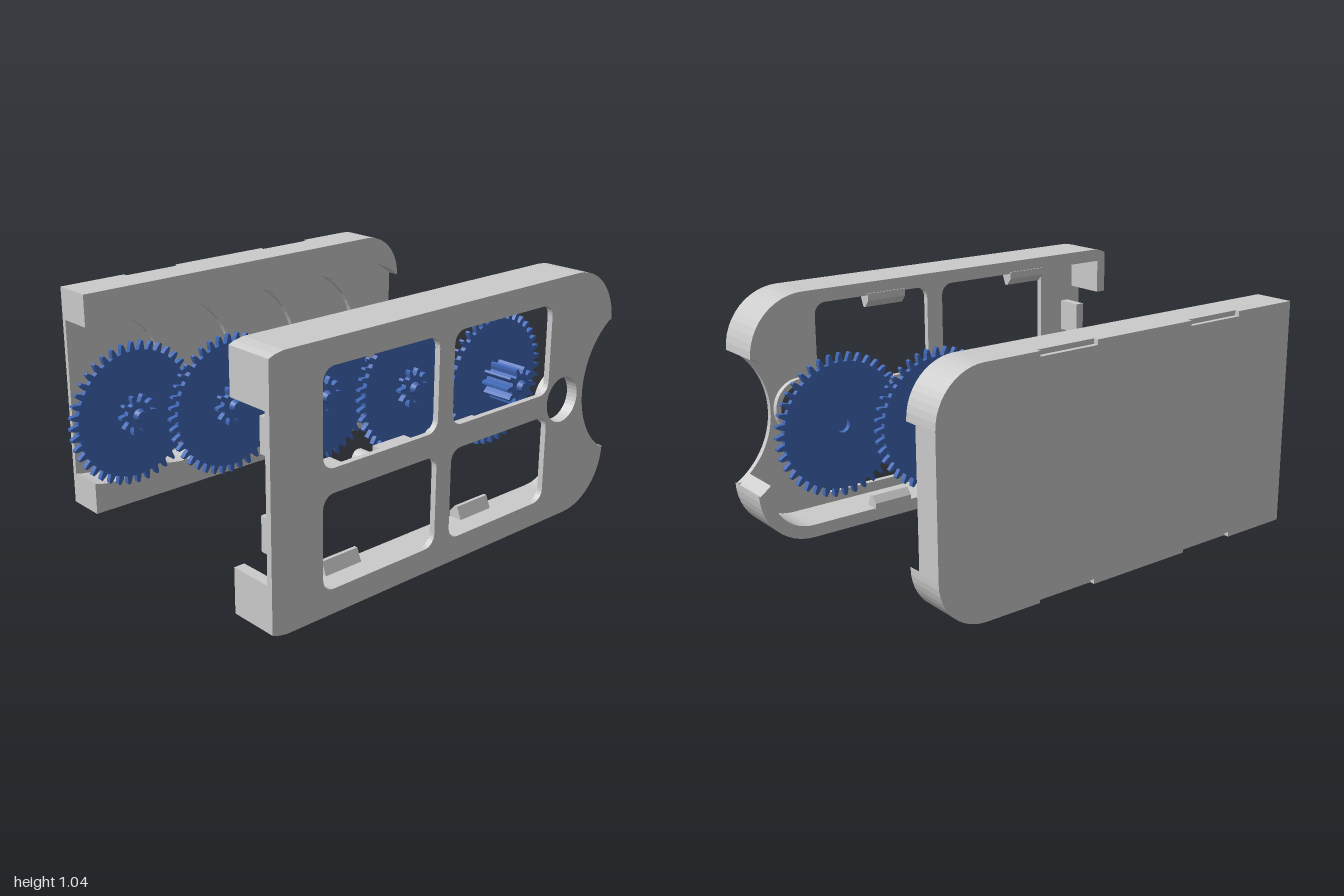
import * as THREE from 'three';

const grey = new THREE.MeshStandardMaterial({ color: 0xcccccc, flatShading: true });
const blue = new THREE.MeshStandardMaterial({ color: 0x4169b8, flatShading: true });
const PITCH = 0.35;                                   // spacing of the gear axles
const axles = [0, 1, 2, 3, 4].map(i => -0.7 + PITCH * i);
const rad = d => d * Math.PI / 180;

// Points along an arc, angles in degrees
function arc(cx, cy, r, a0, a1, n = 12) {
  return Array.from({ length: n + 1 }, (_, i) => {
    const a = rad(a0 + (a1 - a0) * i / n);
    return [cx + r * Math.cos(a), cy + r * Math.sin(a)];
  });
}
const vec = pts => pts.map(p => new THREE.Vector2(p[0], p[1]));
const flip = pts => pts.map(([x, y]) => [x, -y]);

function add(parent, name, geometry, material = grey) {
  const mesh = new THREE.Mesh(geometry, material);
  mesh.name = name;
  parent.add(mesh);
  return mesh;
}
// Flat outline extruded from z0 to z1
function slab(pts, z0, z1, holes = []) {
  const shape = new THREE.Shape(vec(pts));
  holes.forEach(h => shape.holes.push(new THREE.Path(vec(h))));
  return new THREE.ExtrudeGeometry(shape, { depth: z1 - z0, bevelEnabled: false }).translate(0, 0, z0);
}
function box(x0, x1, y0, y1, z0, z1) {
  return new THREE.BoxGeometry(x1 - x0, y1 - y0, z1 - z0)
    .translate((x0 + x1) / 2, (y0 + y1) / 2, (z0 + z1) / 2);
}
function peg(x, r0, r1, z0, z1) {
  return new THREE.CylinderGeometry(r1, r0, z1 - z0, 20).rotateX(Math.PI / 2).translate(x, 0, (z0 + z1) / 2);
}
function roundedRect(x0, x1, y0, y1, r) {
  return [...arc(x1 - r, y1 - r, r, 0, 90, 6), ...arc(x0 + r, y1 - r, r, 90, 180, 6),
    ...arc(x0 + r, y0 + r, r, 180, 270, 6), ...arc(x1 - r, y0 + r, r, 270, 360, 6)];
}
function toothed(teeth, root, tip) {
  const pts = [], step = 360 / teeth;
  for (let i = 0; i < teeth; i++) {
    [[-0.3, root], [-0.2, (root + tip) / 2 + 0.003], [-0.1, tip], [0.1, tip],
      [0.2, (root + tip) / 2 + 0.003], [0.3, root]].forEach(([f, r]) => {
      const a = rad((i + f) * step);
      pts.push([r * Math.cos(a), r * Math.sin(a)]);
    });
  }
  return pts;
}

// Compound gear: wheel, pinion and tapered axle stub
function makeGear(index) {
  const gear = new THREE.Group();
  gear.name = 'gear' + (index + 1);
  const last = index === 4, top = last ? 0.154 : 0.036;
  add(gear, 'gearWheel', slab(toothed(40, 0.262, 0.297), -0.011, 0.011, [arc(0, 0, 0.03, 0, 342, 19)]), blue);
  add(gear, 'pinion', slab(toothed(10, 0.055, 0.084), 0.011, top), blue);
  add(gear, 'axleStub', peg(0, 0.028, 0.019, top, top + 0.022), blue);
  gear.position.set(axles[index], 0, -0.348 + 0.165 * index);
  return gear;
}

function makeFrontCover() {
  const cover = new THREE.Group();
  cover.name = 'frontCover';
  // Face plate with finger notch, four windows and a drive hole
  const upper = [[-0.845, 0.505], [-0.82, 0.515], [-0.78, 0.5225], ...arc(0.76, 0.2825, 0.24, 90, 0)];
  const notch = arc(1.17, 0, 0.337, 120.3, 239.7, 30);
  const holes = [arc(0.7, 0, 0.097, 0, 350, 35)];
  for (const [x0, x1] of [[-0.61, -0.04], [0.04, 0.605]])
    for (const [y0, y1] of [[-0.4225, -0.0475], [0.0475, 0.4225]]) holes.push(roundedRect(x0, x1, y0, y1, 0.05));
  add(cover, 'facePlate', slab([...upper, ...notch, ...flip(upper).reverse()], 0.66, 0.685, holes));
  add(cover, 'driveHoleCollar', slab(arc(0.7, 0, 0.12, 0, 350, 35), 0.635, 0.66, [arc(0.7, 0, 0.097, 0, 350, 35)]));

  // Top and bottom walls with wrapped ends, mirrored
  const wall = [[-0.845, 0.32], ...upper, [1, 0.291], [0.975, 0.275], [0.945, 0.251],
    ...arc(0.76, 0.2825, 0.185, 0, 90), [-0.8, 0.4675], [-0.8, 0.32]];
  for (const s of [1, -1]) {
    add(cover, s > 0 ? 'topWall' : 'bottomWall', slab(s > 0 ? wall : flip(wall), 0.475, 0.66));
    // Snap hooks inside the wall
    for (const x of [-0.37, 0.37]) {
      const hook = [[0.47, 0.475], [0.47, 0.445], [0.495, 0.415], [0.51, 0.415], [0.535, 0.475]];
      const g = slab(s > 0 ? hook : flip(hook), -0.09, 0.09).rotateY(-Math.PI / 2);
      add(cover, 'snapHook', g.translate(x, 0, 0));
    }
    const y = s * 0.186;
    add(cover, 'endTab', box(-0.775, -0.735, y - 0.07, y + 0.07, 0.545, 0.66));
  }
  // Axle sockets and blocks along the middle bar
  for (let i = 0; i < 4; i++) {
    const x = axles[i], tip = 0.56 + 0.025 * i;
    add(cover, 'axleSocket', slab(arc(x, 0, 0.034, 0, 342, 19), tip, 0.66, [arc(x, 0, 0.019, 0, 342, 19)]));
    add(cover, 'barBlock', box(x + 0.06, x + 0.22, -0.033, 0.033, tip + 0.012, 0.66));
  }
  return cover;
}

function makeBackCover() {
  const cover = new THREE.Group();
  cover.name = 'backCover';
  const floor = i => -0.665 + 0.024 * i;
  // Back sheet with latch notches in its long edges
  const corner = arc(0.73, 0.27, 0.2, 90, 0);
  const edge = [[-0.8, 0.47]];
  for (const x of [-0.5, 0.23]) edge.push([x, 0.47], [x, 0.45], [x + 0.26, 0.45], [x + 0.26, 0.47]);
  edge.push(...corner);
  add(cover, 'backSheet', slab([...edge, ...flip(edge).reverse()], -0.685, floor(0)));

  // Stepped circular pockets, one level per gear
  for (let k = 0; k < 5; k++) {
    const bite = [];
    for (let i = 0; i <= k; i++)
      bite.push(...arc(axles[i], 0, 0.35, i ? 120 : 106.6, i < k ? 60 : k < 4 ? 0 : 48.92, 20).slice(i ? 1 : 0));
    const half = [[-0.8, 0.47], ...corner, ...(k < 4 ? [[0.93, 0]] : []), ...bite.reverse()];
    for (const pts of [half, flip(half)])
      add(cover, 'pocketLevel' + (k + 1), slab(pts, floor(k), k < 4 ? floor(k + 1) : -0.515));
    add(cover, 'axlePin', peg(axles[k], 0.032, 0.026, floor(k), floor(k) + 0.025));
  }
  return cover;
}

export function createModel() {
  const model = new THREE.Group();
  model.name = 'gearBox';
  model.add(makeFrontCover(), makeBackCover());
  for (let i = 0; i < 5; i++) model.add(makeGear(i));
  model.children.forEach(part => { part.position.y = 0.5225; });
  return model;
}
